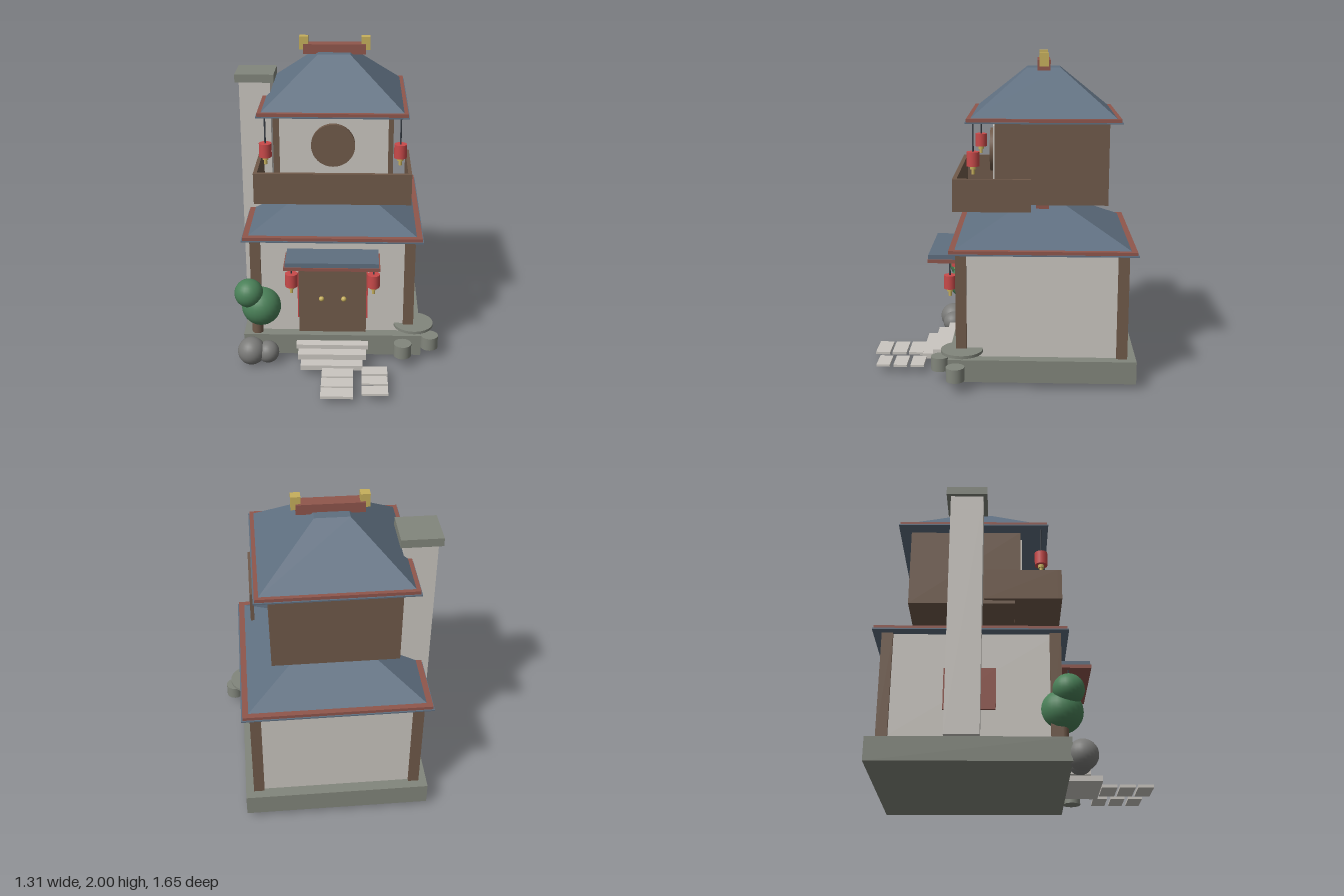
import * as THREE from 'three';

export function createModel() {
  const root = new THREE.Group();
  root.name = 'towerHouse';
  const mat = (name, color) => {
    const m = new THREE.MeshStandardMaterial({ color });
    m.name = name;
    return m;
  };
  const plaster = mat('plaster', 0xcac6c0), wood = mat('wood', 0x705a4a);
  const tile = mat('roofTile', 0x5f6f80), trim = mat('redTrim', 0x90564c);
  const red = mat('lanternRed', 0xc94a4a), gold = mat('gold', 0xc6af5c);
  const leaf = mat('leaf', 0x4a8058), stone = mat('stone', 0x82867c);
  const rock = mat('rock', 0x7a7a78), cord = mat('cord', 0x3a4048);

  const add = (name, geo, material, x, y, z, parent = root) => {
    const m = new THREE.Mesh(geo, material);
    m.name = name;
    m.position.set(x, y, z);
    parent.add(m);
    return m;
  };
  // box from its lower and upper limits
  const box = (name, material, x0, x1, y0, y1, z0, z1) =>
    add(name, new THREE.BoxGeometry(x1 - x0, y1 - y0, z1 - z0), material,
      (x0 + x1) / 2, (y0 + y1) / 2, (z0 + z1) / 2);
  // upright cylinder between two heights
  const post = (name, material, r, x, y0, y1, z, n = 24, parent = root) =>
    add(name, new THREE.CylinderGeometry(r, r, y1 - y0, n), material, x, (y0 + y1) / 2, z, parent);
  const ball = (name, material, r, x, y, z) =>
    add(name, new THREE.SphereGeometry(r, 24, 16), material, x, y, z);

  const CX = -0.03, CZ = -0.258;

  // square slab centred on the house axis
  const slab = (name, material, h, y0, y1) =>
    box(name, material, CX - h, CX + h, y0, y1, CZ - h, CZ + h);

  // hipped roof: tile lip, red eave trim, sloping sides with a flat top
  const roof = (name, lip, base, top, y0, yTop) => {
    slab(name + 'Lip', tile, lip, y0, y0 + 0.008);
    slab(name + 'Trim', trim, lip - 0.008, y0 + 0.008, y0 + 0.028);
    const h = yTop - y0 - 0.028;
    let g = new THREE.CylinderGeometry(top * Math.SQRT2, base * Math.SQRT2, h, 4);
    g.rotateY(Math.PI / 4);
    g = g.toNonIndexed();
    g.computeVertexNormals();
    add(name, g, tile, CX, yTop - h / 2, CZ);
  };

  // foundation, walls and corner posts
  slab('foundation', stone, 0.57, 0.04, 0.18);
  slab('lowerWalls', plaster, 0.5, 0.18, 0.83);
  for (const sx of [-1, 1]) for (const sz of [-1, 1]) {
    const x = CX + sx * 0.487, z = CZ + 0.003 + sz * 0.487;
    box('cornerPost', wood, x - 0.033, x + 0.033, 0.18, 0.83, z - 0.033, z + 0.033);
  }

  // door with knobs, and red panels behind it and beside the chimney
  box('door', wood, -0.245, 0.185, 0.18, 0.66, 0.23, 0.266);
  box('doorPanel', red, -0.253, 0.195, 0.28, 0.6, 0.23, 0.26);
  for (const x of [-0.1, 0.042]) ball('doorKnob', gold, 0.017, x, 0.42, 0.27);
  box('sidePanel', trim, -0.545, -0.52, 0.36, 0.61, -0.41, -0.11);

  // awning over the door
  box('awningTrim', trim, -0.325, 0.267, 0.71, 0.731, 0.2, 0.457);
  box('awning', tile, -0.315, 0.258, 0.731, 0.76, 0.2, 0.452);

  // roofs and their ridges
  roof('lowerRoof', 0.568, 0.525, 0.13, 0.83, 1.06);
  box('lowerRidge', trim, -0.27, 0.213, 1.05, 1.1, -0.295, -0.217);
  roof('upperRoof', 0.464, 0.432, 0.102, 1.6, 1.905);
  box('upperRidge', trim, -0.225, 0.168, 1.892, 1.955, -0.298, -0.218);
  for (const x of [-0.223, 0.168])
    box('ridgeEnd', gold, x - 0.028, x + 0.028, 1.918, 2.0, -0.286, -0.23);

  // upper storey with front panel and round window
  box('upperStorey', wood, -0.405, 0.345, 1.1, 1.602, -0.65, 0.033);
  box('upperPanel', plaster, -0.365, 0.313, 1.1, 1.575, 0.033, 0.045);
  add('roundWindow', new THREE.CylinderGeometry(0.137, 0.137, 0.03, 40), wood, CX, 1.385, 0.06)
    .rotation.x = Math.PI / 2;

  // balcony
  box('balconyFloor', wood, -0.5, 0.445, 1.078, 1.1, 0.0, 0.27);
  box('balconyFront', wood, -0.51, 0.453, 1.078, 1.275, 0.255, 0.281);
  for (const x of [-0.51, 0.43])
    box('balconySide', wood, x, x + 0.023, 1.078, 1.275, -0.185, 0.255);

  // chimney
  box('chimney', plaster, -0.636, -0.438, 0.18, 1.72, -0.395, -0.195);
  box('chimneyCap', stone, -0.66, -0.412, 1.718, 1.77, -0.42, -0.172);

  // hanging lanterns
  const lantern = (x, y, z, yTop) => {
    const g = new THREE.Group();
    g.name = 'lantern';
    root.add(g);
    post('lanternBody', red, 0.039, x, y - 0.043, y + 0.043, z, 20, g);
    post('lanternCollar', gold, 0.019, x, y - 0.062, y - 0.043, z, 12, g);
    post('lanternTassel', gold, 0.01, x, y - 0.092, y - 0.06, z, 10, g);
    post('lanternCord', cord, 0.005, x, y + 0.043, yTop, z, 8, g);
  };
  for (const x of [-0.287, 0.23]) lantern(x, 0.582, 0.32, 0.715);
  for (const x of [-0.442, 0.384]) lantern(x, 1.387, 0.16, 1.603);

  // entrance steps and paving slabs
  [[0.23, 0.112, 0.14, 0.37], [0.216, 0.075, 0.112, 0.44], [0.195, 0.042, 0.075, 0.51]]
    .forEach(([w, y0, y1, z]) => box('step', plaster, CX - w, CX + w, y0, y1, 0.29, z));
  for (let i = 0; i < 3; i++) {
    const z = i * 0.108;
    box('pavingSlab', plaster, -0.09, 0.107, 0.043, 0.06, 0.515 + z, 0.608 + z);
    box('pavingSlab', plaster, 0.16, 0.32, 0.043, 0.057, 0.485 + z, 0.57 + z);
  }

  // tree and rocks
  post('treeTrunk', wood, 0.035, -0.513, 0.15, 0.4, 0.265);
  ball('foliage', leaf, 0.126, -0.487, 0.365, 0.262);
  ball('foliage', leaf, 0.092, -0.56, 0.473, 0.3);
  ball('rock', rock, 0.089, -0.547, 0.093, 0.37);
  ball('rock', rock, 0.071, -0.442, 0.083, 0.362);

  // round table with stools
  post('tableTop', stone, 0.127, 0.492, 0.218, 0.236, 0.228, 32);
  post('tableLeg', stone, 0.033, 0.492, 0.06, 0.218, 0.228);
  post('stool', stone, 0.056, 0.42, 0.075, 0.16, 0.37);
  post('stool', stone, 0.056, 0.598, 0.075, 0.16, 0.262);

  return root;
}
